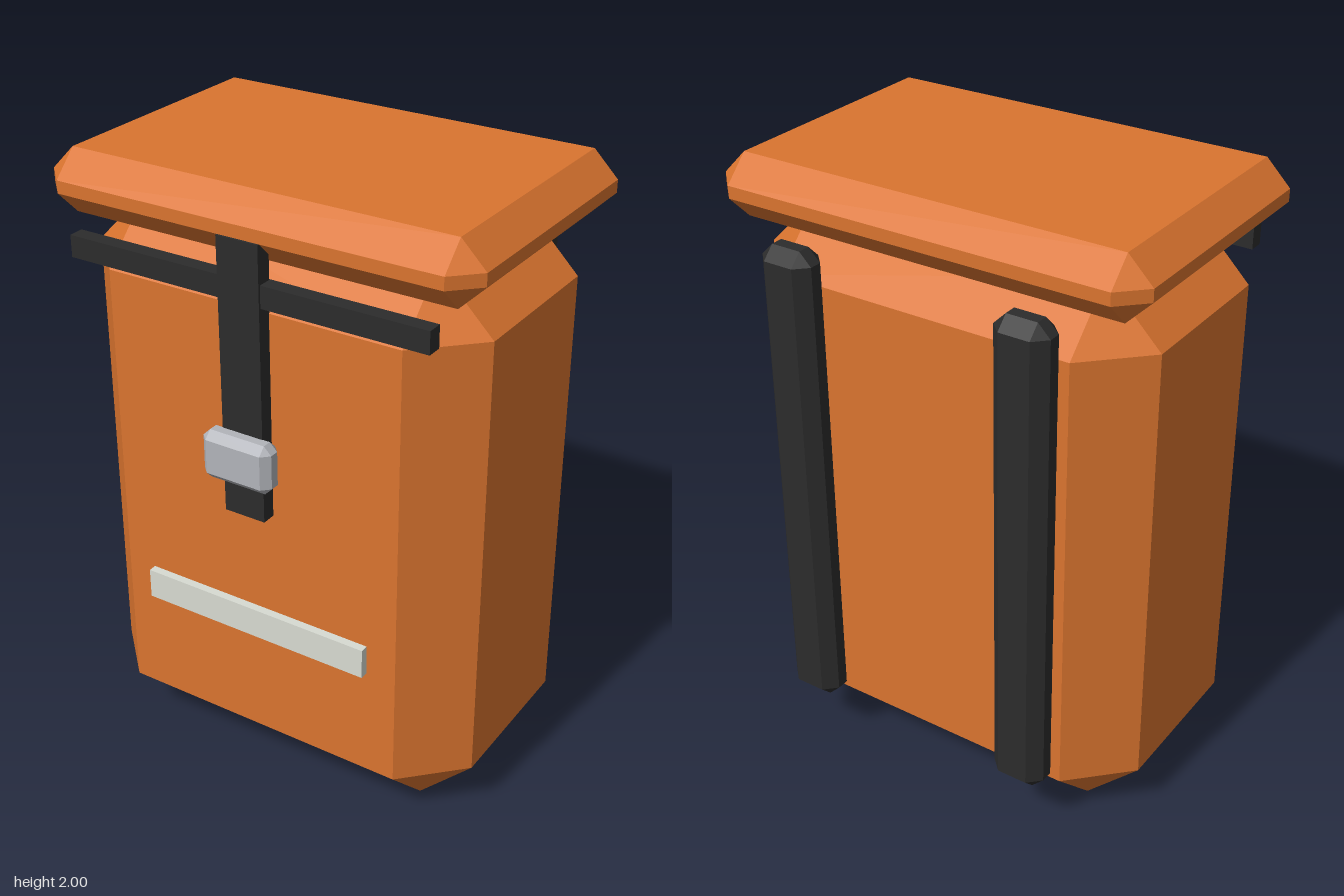
import * as THREE from 'three';
import { ConvexGeometry } from 'three/addons/geometries/ConvexGeometry.js';

const material = (name, color) => {
  const m = new THREE.MeshStandardMaterial({ color, flatShading: true });
  m.name = name;
  return m;
};

// Box between two corners with every edge cut at 45 degrees by c
function chamferBox(min, max, c) {
  const half = min.map((v, i) => (max[i] - v) / 2);
  const points = [];
  for (const sx of [-1, 1]) for (const sy of [-1, 1]) for (const sz of [-1, 1]) {
    for (let face = 0; face < 3; face++) {
      const [x, y, z] = half.map((h, i) => (i === face ? h : h - c));
      points.push(new THREE.Vector3(sx * x, sy * y, sz * z));
    }
  }
  return new ConvexGeometry(points);
}

export function createModel() {
  const group = new THREE.Group();
  group.name = 'backpack';
  const fabric = material('orange fabric', 0xda742f);
  const webbing = material('black webbing', 0x2c2c2c);
  const metal = material('grey metal', 0xb2b4ba);
  const reflective = material('pale reflective', 0xd8dbd2);

  // Place a plain or chamfered block between two corners
  function addBlock(name, mat, min, max, chamfer = 0) {
    const size = max.map((v, i) => v - min[i]);
    const geometry = chamfer ? chamferBox(min, max, chamfer) : new THREE.BoxGeometry(...size);
    const mesh = new THREE.Mesh(geometry, mat);
    mesh.position.set(...min.map((v, i) => (v + max[i]) / 2));
    mesh.name = name;
    group.add(mesh);
  }

  // Bag and lid
  addBlock('body', fabric, [-0.68, 0, -0.43], [0.68, 1.84, 0.45], 0.18);
  addBlock('lid', fabric, [-0.72, 1.8, -0.47], [0.72, 2, 0.49], 0.08);

  // Front closure
  addBlock('closureStrap', webbing, [-0.07, 1, 0.445], [0.07, 1.88, 0.497]);
  addBlock('crossStrap', webbing, [-0.605, 1.69, 0.44], [0.605, 1.76, 0.49]);
  addBlock('buckle', metal, [-0.12, 1.12, 0.47], [0.12, 1.28, 0.55], 0.025);
  addBlock('reflectiveStrip', reflective, [-0.4, 0.55, 0.44], [0.4, 0.65, 0.477]);

  // Shoulder straps on the back
  for (const side of [-1, 1]) {
    addBlock(side > 0 ? 'leftShoulderStrap' : 'rightShoulderStrap', webbing,
      [side * 0.4 - 0.09, 0.2, -0.55], [side * 0.4 + 0.09, 1.8, -0.43], 0.04);
  }
  return group;
}
